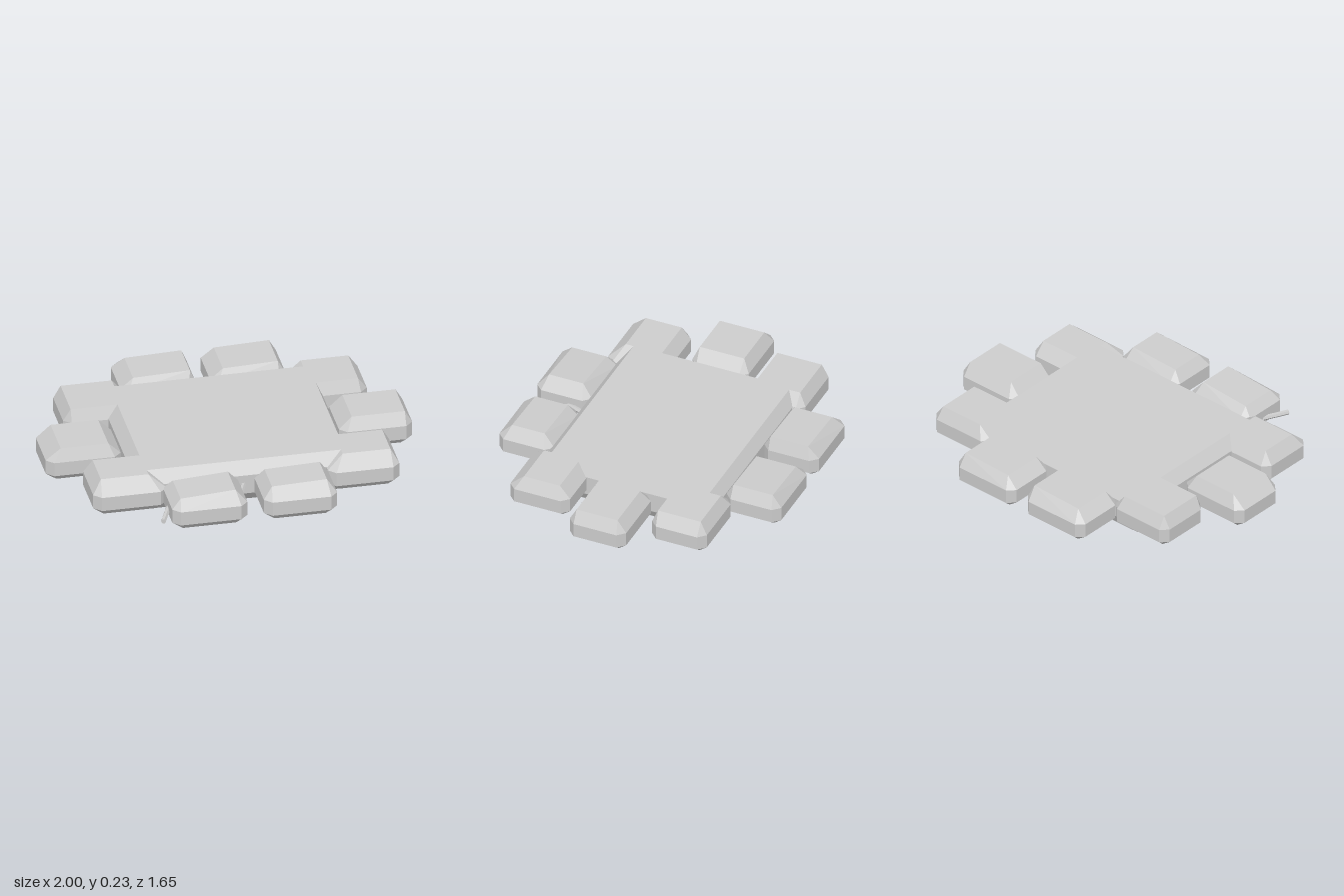
import * as THREE from 'three';
import { ConvexGeometry } from 'three/addons/geometries/ConvexGeometry.js';

const stone = new THREE.MeshStandardMaterial({ color: 0xcccccc, flatShading: true });
stone.name = 'pale grey';

// four corners of a rectangle; cut > 0 trims each corner into two points
function ring([x0, x1, z0, z1], y, cut = 0) {
  const pts = [];
  for (const [x, sx] of [[x0, 1], [x1, -1]]) {
    for (const [z, sz] of [[z0, 1], [z1, -1]]) {
      pts.push(new THREE.Vector3(x + sx * cut, y, z));
      if (cut) pts.push(new THREE.Vector3(x, y, z + sz * cut));
    }
  }
  return pts;
}

// chamfered block: base rectangle, belt with trimmed corners, top rectangle
function block(name, base, belt, top, [y0, y1, y2, y3], cut, tilt = 0) {
  const cx = (top[0] + top[1]) / 2;
  const upper = ring(top, y3);
  upper.forEach(p => { p.y -= tilt * (p.x < cx ? 1 : 0); });
  const pts = [...ring(base, y0), ...ring(belt, y1, cut), ...ring(belt, y2, cut), ...upper];
  const mesh = new THREE.Mesh(new ConvexGeometry(pts), stone);
  mesh.name = name;
  return mesh;
}

// outer rectangle and top rectangle of every stone, as x0, x1, z0, z1
const ringStones = [
  ['backRightStone', [-0.45, -0.04, -0.83, -0.51], [-0.38, -0.07, -0.77, -0.55], 0.01],
  ['backLeftStone', [0.04, 0.45, -0.83, -0.51], [0.11, 0.41, -0.78, -0.55], 0.01],
  ['rightBackStone', [-0.82, -0.44, -0.57, -0.24], [-0.78, -0.5, -0.53, -0.27], 0],
  ['rightMiddleStone', [-1, -0.59, -0.17, 0.16], [-0.92, -0.66, -0.13, 0.13], 0],
  ['rightFrontStone', [-0.83, -0.43, 0.24, 0.58], [-0.78, -0.52, 0.29, 0.5], 0],
  ['frontRightStone', [-0.45, -0.04, 0.5, 0.82], [-0.4, -0.1, 0.56, 0.76], 0.02],
  ['frontLeftStone', [0.05, 0.45, 0.5, 0.82], [0.1, 0.4, 0.56, 0.75], 0.01],
  ['leftFrontStone', [0.45, 0.84, 0.23, 0.58], [0.54, 0.8, 0.29, 0.5], 0],
  ['leftMiddleStone', [0.6, 1, -0.17, 0.16], [0.67, 0.96, -0.12, 0.12], 0],
  ['leftBackStone', [0.45, 0.84, -0.57, -0.25], [0.53, 0.79, -0.53, -0.28], 0],
];

// thin six-sided stick between two points
function stick(name, a, b) {
  const from = new THREE.Vector3(...a), to = new THREE.Vector3(...b);
  const dir = to.clone().sub(from);
  const mesh = new THREE.Mesh(new THREE.CylinderGeometry(0.014, 0.014, dir.length(), 6), stone);
  mesh.name = name;
  mesh.position.copy(from).add(to).multiplyScalar(0.5);
  mesh.quaternion.setFromUnitVectors(new THREE.Vector3(0, 1, 0), dir.normalize());
  return mesh;
}

export function createModel() {
  const group = new THREE.Group();
  group.name = 'stoneRing';

  // central slab
  group.add(block('slab', [-0.55, 0.55, -0.48, 0.46], [-0.58, 0.59, -0.51, 0.51],
    [-0.525, 0.56, -0.465, 0.455], [0, 0.06, 0.17, 0.235], 0.05));

  // surrounding stones
  for (const [name, belt, top, tilt] of ringStones) {
    const base = [belt[0] + 0.06, belt[1] - 0.06, belt[2] + 0.05, belt[3] - 0.05];
    group.add(block(name, base, belt, top, [0.04, 0.085, 0.165, 0.235], 0.04, tilt));
  }

  // two sticks poking out at the front
  group.add(stick('outerStick', [-0.5, 0.105, 0.79], [-0.37, 0.115, 0.48]));
  group.add(stick('innerStick', [-0.09, 0.11, 0.73], [0.02, 0.115, 0.45]));
  return group;
}
